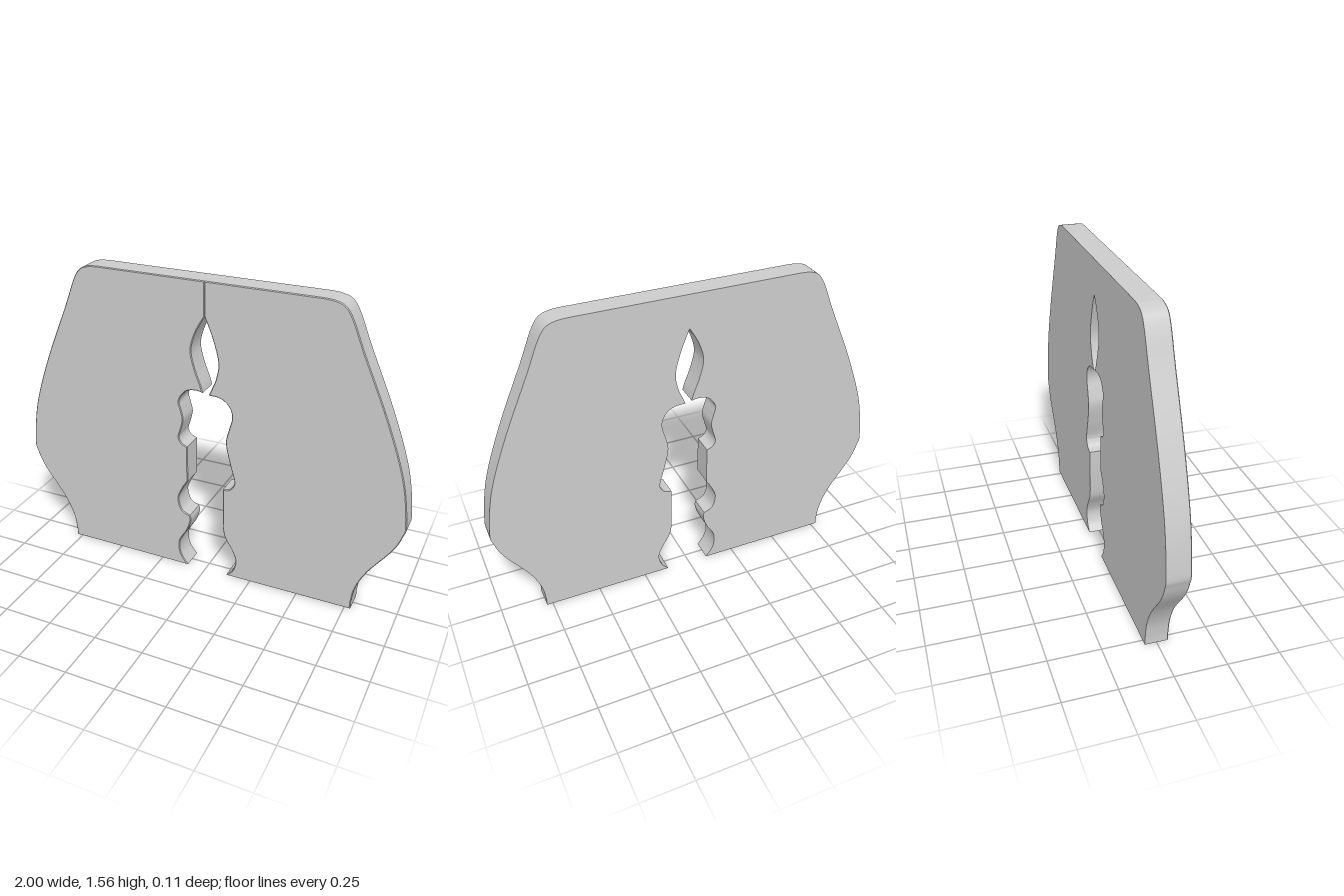
import * as THREE from 'three';
import { toCreasedNormals } from 'three/addons/utils/BufferGeometryUtils.js';

const THICKNESS = 0.112;
const BEVEL = 0.004;
const TOP = 1.556;

// Outer flank from foot to top corner, shared by both halves
const FLANK = [
  [0.78, 0.04], [0.795, 0.13], [0.845, 0.24], [0.95, 0.39], [0.99, 0.48], [1, 0.55], [0.963, 0.775],
  [0.87, 1.04], [0.74, 1.337], [0.685, 1.47], [0.647, 1.53], [0.6, 1.551], [0.545, TOP],
];

// Inner cut-outs, top to bottom: each list is one smooth run, with sharp corners between runs
const LEFT_CUT = [
  [[0, 1.39], [0.04, 1.29], [0.068, 1.18], [0.058, 1.1], [0.035, 1.04], [0.02, 1.005]],
  [[0.08, 1.0], [0.125, 0.965], [0.14, 0.91], [0.123, 0.84], [0.11, 0.77], [0.13, 0.67], [0.156, 0.575],
    [0.15, 0.54], [0.13, 0.518], [0.097, 0.51]],
  [[0.097, 0.29]],
  [[0.11, 0.23], [0.15, 0.16], [0.17, 0.1], [0.155, 0.04], [0.12, 0]],
];
const RIGHT_CUT = [
  [[0, 1.39], [0.045, 1.31], [0.07, 1.22], [0.052, 1.13], [0.022, 1.05], [0.012, 1.012]],
  [[0.05, 1.018], [0.1, 1.003], [0.136, 0.95], [0.126, 0.9], [0.116, 0.85], [0.13, 0.79], [0.14, 0.75],
    [0.125, 0.72], [0.095, 0.706]],
  [[0.095, 0.51]],
  [[0.125, 0.46], [0.147, 0.4], [0.13, 0.335], [0.085, 0.31]],
  [[0.081, 0.28], [0.1, 0.22], [0.14, 0.15], [0.147, 0.1], [0.135, 0.05], [0.1, 0]],
];

// One half of the plate; side is +1 for left, -1 for right
function halfPlate(name, side, cut) {
  const vec = ([x, y]) => new THREE.Vector2(side * x, y);
  const shape = new THREE.Shape();
  shape.moveTo(side * 0.78, 0);
  shape.lineTo(side * 0.78, 0.04);
  shape.splineThru(FLANK.slice(1).map(vec));
  shape.lineTo(0, TOP);
  cut.forEach((run, i) => {
    const pts = run.map(vec);
    if (i === 0 || pts.length === 1) shape.lineTo(pts[0].x, pts[0].y);
    if (pts.length > 1) shape.splineThru(i === 0 ? pts.slice(1) : pts);
  });
  shape.closePath();

  const geometry = new THREE.ExtrudeGeometry(shape, {
    depth: THICKNESS - BEVEL, curveSegments: 5, bevelEnabled: true, bevelSegments: 1,
    bevelThickness: BEVEL, bevelSize: BEVEL, bevelOffset: -BEVEL,
  });
  // Flatten the rear bevel so that only the front edge is chamfered
  const pos = geometry.attributes.position;
  for (let i = 0; i < pos.count; i++) pos.setZ(i, Math.max(pos.getZ(i), 0));
  geometry.translate(0, 0, -THICKNESS / 2);

  const mesh = new THREE.Mesh(
    toCreasedNormals(geometry, 0.5),
    new THREE.MeshStandardMaterial({ color: 0xcccccc }),
  );
  mesh.name = name;
  return mesh;
}

export function createModel() {
  const group = new THREE.Group();
  group.name = 'splitPlate';
  group.add(halfPlate('leftHalf', 1, LEFT_CUT), halfPlate('rightHalf', -1, RIGHT_CUT));
  return group;
}
